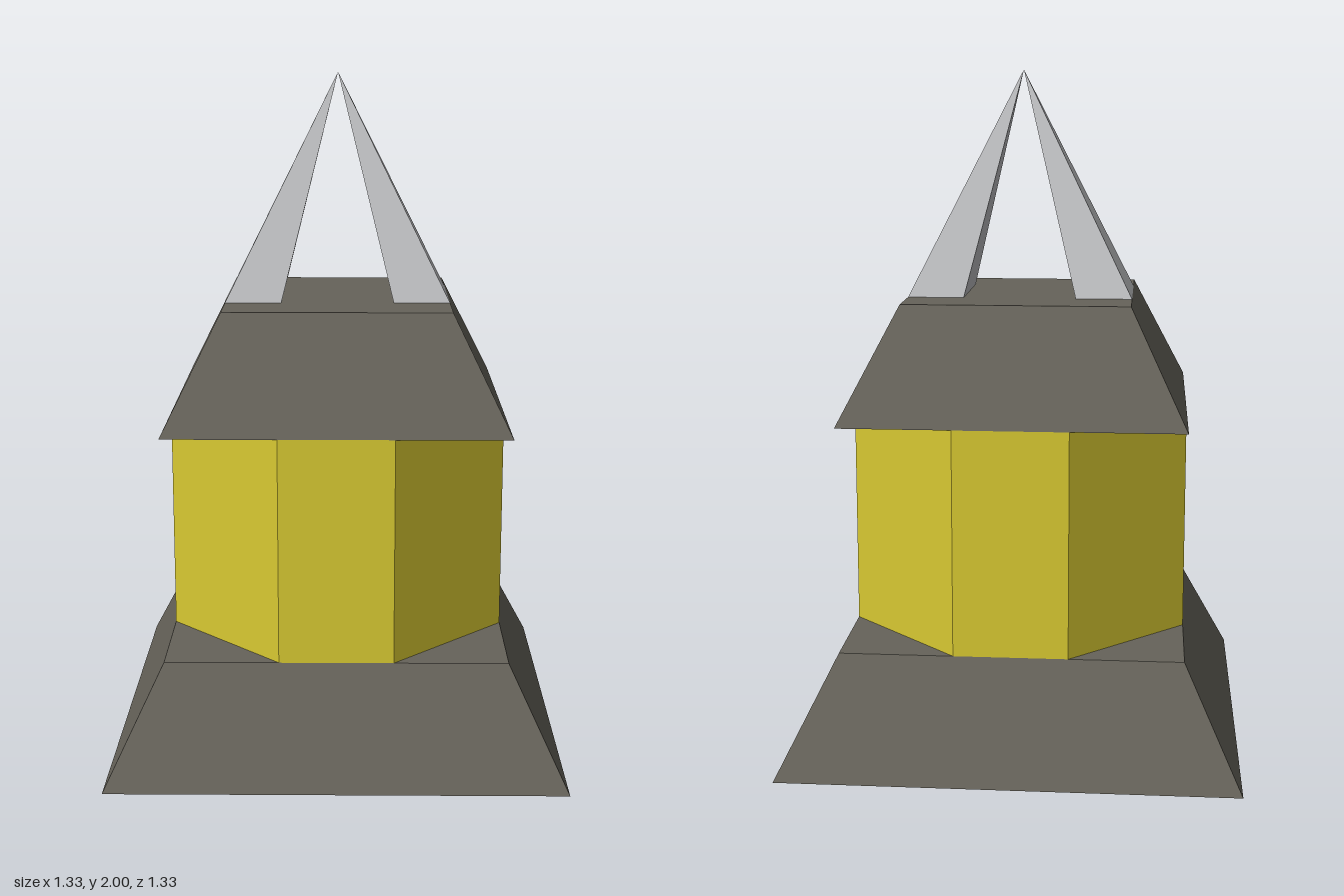
import * as THREE from 'three';

const U = 1 / 6; // layout unit

const flat = (name, color) => {
  const m = new THREE.MeshStandardMaterial({ color, flatShading: true });
  m.name = name;
  return m;
};

// Square frustum standing on y = 0, given half widths
function frustum(bottom, top, height) {
  return new THREE.CylinderGeometry(top * Math.SQRT2, bottom * Math.SQRT2, height, 4)
    .rotateY(Math.PI / 4)
    .translate(0, height / 2, 0);
}

// Chamfered square prism standing on y = 0
function octagonPrism(half, chamfer, height) {
  const c = half - chamfer;
  const corners = [
    [half, -c], [half, c], [c, half], [-c, half],
    [-half, c], [-half, -c], [-c, -half], [c, -half],
  ].map(([x, y]) => new THREE.Vector2(x, y));
  return new THREE.ExtrudeGeometry(new THREE.Shape(corners), { depth: height, bevelEnabled: false })
    .rotateX(-Math.PI / 2);
}

// Rectangular pyramid whose base sits to one side while its tip stays on the axis
function leaningSpike(width, depth, height, offset) {
  const g = frustum(0.5, 0, 1).scale(width, height, depth);
  const p = g.attributes.position;
  for (let i = 0; i < p.count; i++) {
    p.setX(i, p.getX(i) + offset * (1 - p.getY(i) / height));
  }
  g.computeVertexNormals();
  return g;
}

export function createModel() {
  const model = new THREE.Group();
  model.name = 'lantern';

  const darkStone = flat('darkStone', 0x66635a);
  const yellowGlass = flat('yellowGlass', 0xd9ca32);
  const paleMetal = flat('paleMetal', 0xc4c5c8);

  const add = (name, geometry, material, y) => {
    const mesh = new THREE.Mesh(geometry, material);
    mesh.name = name;
    mesh.position.y = y;
    model.add(mesh);
  };

  // Foot, lamp body and roof
  add('base', frustum(4 * U, 3 * U, 2 * U), darkStone, 0);
  add('glass', octagonPrism(3 * U, 2 * U, 4 * U), yellowGlass, 2 * U);
  add('roof', frustum(3 * U, 2 * U, 2 * U), darkStone, 6 * U);

  // Two spikes leaning together to form the hanger
  for (const [name, side] of [['leftHangerSpike', 1], ['rightHangerSpike', -1]]) {
    add(name, leaningSpike(U, 2 * U, 4 * U, side * 1.5 * U), paleMetal, 8 * U);
  }

  return model;
}
